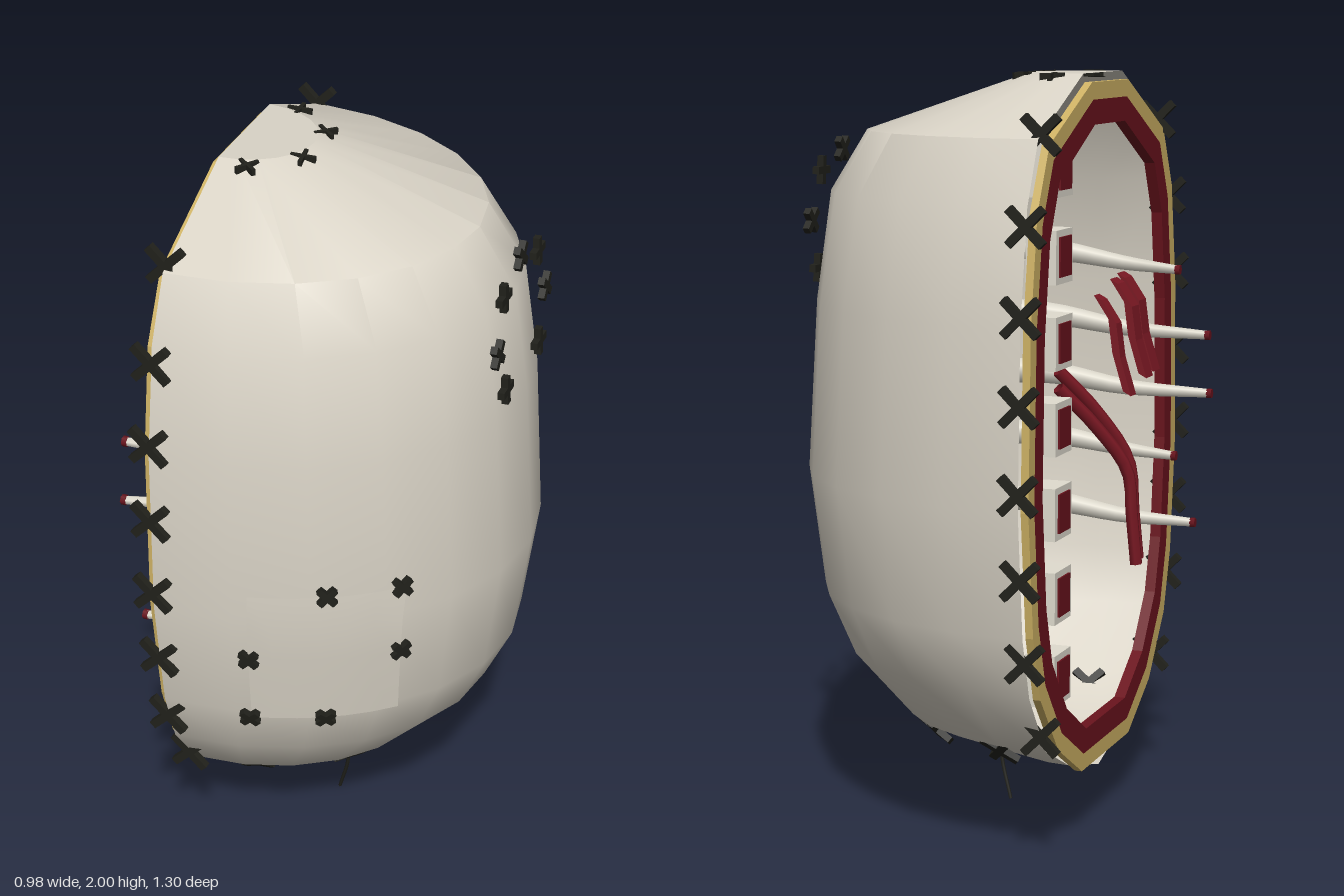
import * as THREE from 'three';
import { toCreasedNormals } from 'three/addons/utils/BufferGeometryUtils.js';

const mat = (name, color, side = THREE.FrontSide) => {
  const m = new THREE.MeshStandardMaterial({ color, side });
  m.name = name;
  return m;
};

const CUT = -0.31; // x of the cut plane

// shell rings from the bottom up: height, depth along x, half width along z
const RINGS = [
  [0.15, 0, 0], [0.215, 0.23, 0.25], [0.3, 0.52, 0.43], [0.47, 0.68, 0.555], [0.63, 0.755, 0.605],
  [0.95, 0.797, 0.64], [1.4, 0.77, 0.625], [1.69, 0.73, 0.577], [1.85, 0.63, 0.5], [2, 0.19, 0.16],
];

function ringAt(y) {
  let i = 0;
  while (i < RINGS.length - 2 && y > RINGS[i + 1][0]) i++;
  const [p, q] = [RINGS[i], RINGS[i + 1]];
  const f = (y - p[0]) / (q[0] - p[0]);
  return [p[1] + (q[1] - p[1]) * f, p[2] + (q[2] - p[2]) * f];
}

// point on the shell; t runs from +z round through +x to -z
function surf(y, t) {
  const [a, b] = ringAt(y);
  return new THREE.Vector3(CUT + a * Math.sin(t), y, b * Math.cos(t));
}

function surfNormal(y, t) {
  const e = 0.01;
  const du = surf(y, t + e).sub(surf(y, t - e));
  const dv = surf(y + e, t).sub(surf(y - e, t));
  return du.cross(dv).normalize();
}

// grid of quads from a point function
function gridGeometry(rows, cols, point) {
  const pos = [], idx = [];
  for (let i = 0; i <= rows; i++)
    for (let j = 0; j <= cols; j++) pos.push(...point(i, j).toArray());
  for (let i = 0; i < rows; i++)
    for (let j = 0; j < cols; j++) {
      const a = i * (cols + 1) + j, c = a + cols + 1;
      idx.push(a, a + 1, c, a + 1, c + 1, c);
    }
  const g = new THREE.BufferGeometry();
  g.setAttribute('position', new THREE.Float32BufferAttribute(pos, 3));
  g.setIndex(idx);
  g.computeVertexNormals();
  return g;
}

// tube whose radius runs from r0 to r1
function taperedTube(points, r0, r1, sides = 6) {
  const n = 14;
  const curve = new THREE.CatmullRomCurve3(points.map((p) => new THREE.Vector3(...p)));
  const g = new THREE.TubeGeometry(curve, n, r0, sides);
  const p = g.attributes.position, v = new THREE.Vector3();
  for (let k = 0; k < p.count; k++) {
    const f = Math.floor(k / (sides + 1)) / n;
    const c = curve.getPointAt(f);
    v.fromBufferAttribute(p, k).sub(c).multiplyScalar(1 + (r1 / r0 - 1) * f).add(c);
    p.setXYZ(k, v.x, v.y, v.z);
  }
  return g;
}

export function createModel() {
  const root = new THREE.Group();
  root.name = 'openShell';
  const skin = mat('skin', 0xd9d3c6, THREE.DoubleSide);
  const fat = mat('yellowLayer', 0xcdb164);
  const flesh = mat('darkRed', 0x6a131d, THREE.DoubleSide);
  const strandRed = mat('strandRed', 0x7a1823, THREE.DoubleSide);
  const bone = mat('bone', 0xe0dccf, THREE.DoubleSide);
  const thread = mat('thread', 0x21211b);

  const add = (name, geo, m, parent = root) => {
    const mesh = new THREE.Mesh(geo, m);
    mesh.name = name;
    parent.add(mesh);
  };
  const group = (name) => {
    const g = new THREE.Group();
    g.name = name;
    root.add(g);
    return g;
  };

  // outer half shell and its flat top
  const shell = gridGeometry(RINGS.length - 1, 12, (i, j) => surf(RINGS[i][0], (j / 12) * Math.PI));
  add('shell', toCreasedNormals(shell, 0.7), skin);
  add('shellTop', gridGeometry(1, 12, (i, j) => {
    const t = (j / 12) * Math.PI, k = 1 - i;
    return new THREE.Vector3(CUT + 0.19 * k * Math.sin(t), 2, 0.16 * k * Math.cos(t));
  }), skin);

  // layered rim around the opening, set just inside the shell edge
  const half = [[0.15, 1.978], [0.475, 1.835], [0.56, 1.675], [0.605, 1.4], [0.62, 0.95],
    [0.583, 0.63], [0.527, 0.46], [0.39, 0.295], [0.2, 0.187]];
  const outline = [...half, ...half.slice().reverse().map(([z, y]) => [-z, y])];
  const inset = (d) => outline.map(([z, y]) =>
    new THREE.Vector2(z * (1 - d / 0.61), 1.08 + (y - 1.08) * (1 - d / 0.85)));
  const rim = (name, outer, inner, depth, m) => {
    const s = new THREE.Shape(inset(outer));
    s.holes.push(new THREE.Path(inset(inner)));
    const g = new THREE.ExtrudeGeometry(s, { depth, bevelEnabled: false });
    add(name, g.rotateY(-Math.PI / 2).translate(depth - 0.33, 0, 0), m);
  };
  rim('yellowRim', 0, 0.042, 0.02, fat);
  rim('redRim', 0.042, 0.102, 0.03, flesh);

  // vertebrae along the back wall, with red cores on the cut face
  const spine = group('spine');
  for (let i = 0; i < 7; i++) {
    const y = 1.77 - i * 0.2157;
    add('vertebra', new THREE.BoxGeometry(0.08, 0.135, 0.125).translate(-0.285, y, -0.345), bone, spine);
    add('vertebraCore', new THREE.BoxGeometry(0.008, 0.1, 0.085).translate(-0.326, y, -0.345), flesh, spine);
  }

  // ribs: height, tip x, tip z
  const ribs = group('ribs');
  for (const [y, x, z] of [[1.455, -0.4, 0.385], [1.275, -0.48, 0.41], [1.11, -0.48, 0.435],
    [0.935, -0.39, 0.4], [0.745, -0.44, 0.425]]) {
    add('rib', taperedTube([[0.13, y + 0.06, 0.28], [-0.05, y + 0.045, 0.37],
      [-0.25, y + 0.012, 0.4], [x, y, z]], 0.039, 0.012), bone, ribs);
    add('ribTip', new THREE.CylinderGeometry(0.014, 0.014, 0.014, 6).rotateZ(Math.PI / 2)
      .translate(x - 0.003, y, z), flesh, ribs);
  }

  // loose red strands: short flat bands and two long cords
  const strands = group('strands');
  const band = (z, w, top) => {
    const path = [[-0.29, top], [-0.33, top - 0.06], [-0.342, top - 0.15], [-0.372, top - 0.25]];
    const pts = [...path, ...path.slice().reverse().map(([x, y]) => [x - 0.022, y - 0.012])];
    const s = new THREE.Shape(pts.map((p) => new THREE.Vector2(...p)));
    add('band', new THREE.ExtrudeGeometry(s, { depth: w, bevelEnabled: false })
      .translate(0, 0, z), strandRed, strands);
  };
  band(-0.005, 0.045, 1.42);
  band(0.13, 0.06, 1.45);
  band(0.192, 0.062, 1.46);
  add('cord', taperedTube([[-0.26, 1.2, -0.2], [-0.34, 1.09, -0.125], [-0.405, 0.97, -0.065],
    [-0.415, 0.85, -0.055], [-0.425, 0.72, -0.045]], 0.017, 0.017), strandRed, strands);
  add('cord', taperedTube([[-0.25, 1.24, -0.17], [-0.33, 1.13, -0.1], [-0.4, 0.99, -0.035],
    [-0.41, 0.86, -0.025], [-0.42, 0.73, -0.015]], 0.017, 0.017), strandRed, strands);

  // cross stitches
  const stitches = group('stitches');
  const cross = (pos, normal, len, wide, roll = Math.PI / 4, thick = 0.018) => {
    const g = new THREE.Group();
    g.name = 'crossStitch';
    for (const r of [0, Math.PI / 2])
      add('stitchBar', new THREE.BoxGeometry(len, wide, thick).rotateZ(roll + r), thread, g);
    g.position.copy(pos);
    g.lookAt(pos.clone().add(normal));
    stitches.add(g);
  };
  const angleAtX = (x, y) => Math.asin((x - CUT) / ringAt(y)[0]);
  const V = (x, y, z) => new THREE.Vector3(x, y, z);

  // large stitches along the cut edge
  for (const s of [1, -1])
    for (let i = 0; i < 8; i++) {
      const y = 1.86 - i * 0.2157;
      cross(V(CUT, y, s * (ringAt(y)[1] + 0.004)), V(0, 0, s), 0.125, 0.022, Math.PI / 4, 0.02);
    }
  // upright ring of stitches on the side
  for (const [z, y, roll] of [[0, 1.79, 1], [0.13, 1.74, 0], [-0.13, 1.74, 0], [0.185, 1.61, 1],
    [-0.185, 1.61, 1], [0.13, 1.48, 0], [-0.13, 1.48, 0]])
    cross(V(0.444 - (y - 1.48) * 0.05, y, z), V(1, 0.05, 0), 0.075, 0.02, roll * Math.PI / 4);
  // stitches round the underside
  for (const [x, z] of [[-0.16, 0.36], [0.07, 0.23], [0.155, 0], [0.07, -0.23], [-0.16, -0.36]])
    cross(V(x, 0.272, z), V((x - CUT) * 0.8, -0.42, z * 1.2), 0.11, 0.022);
  // stitches on the top
  for (const [x, z] of [[-0.23, 0.17], [-0.12, 0.075], [-0.12, -0.075], [-0.23, -0.17]])
    cross(V(x, 1.992, z), V((x - CUT) * 0.3, 1, z * 0.3), 0.065, 0.01, 0.5);

  // sewn patch on the front
  add('patch', gridGeometry(4, 6, (i, j) => {
    const y = 0.62 + (i / 4) * 0.41;
    const left = -0.075 + (i / 4) * 0.01, right = 0.26 + (i / 4) * 0.03;
    const t = angleAtX(left + (j / 6) * (right - left), y);
    return surf(y, t).addScaledVector(surfNormal(y, t), 0.007);
  }), skin);
  for (const [x, y] of [[0.122, 1.035], [0.28, 1.035], [0.274, 0.83], [0.103, 0.625], [-0.078, 0.625], [-0.068, 0.83]]) {
    const t = angleAtX(x, y), n = surfNormal(y, t);
    cross(surf(y, t).addScaledVector(n, 0.012), n, 0.058, 0.018);
  }

  // hanging thread end
  const hang = [[-0.012, 0.215, 0.09], [-0.003, 0.17, 0.087], [0, 0.12, 0.085], [-0.03, 0.002, 0.075]];
  add('looseThread', taperedTube(hang, 0.006, 0.005, 5), thread);

  return root;
}
